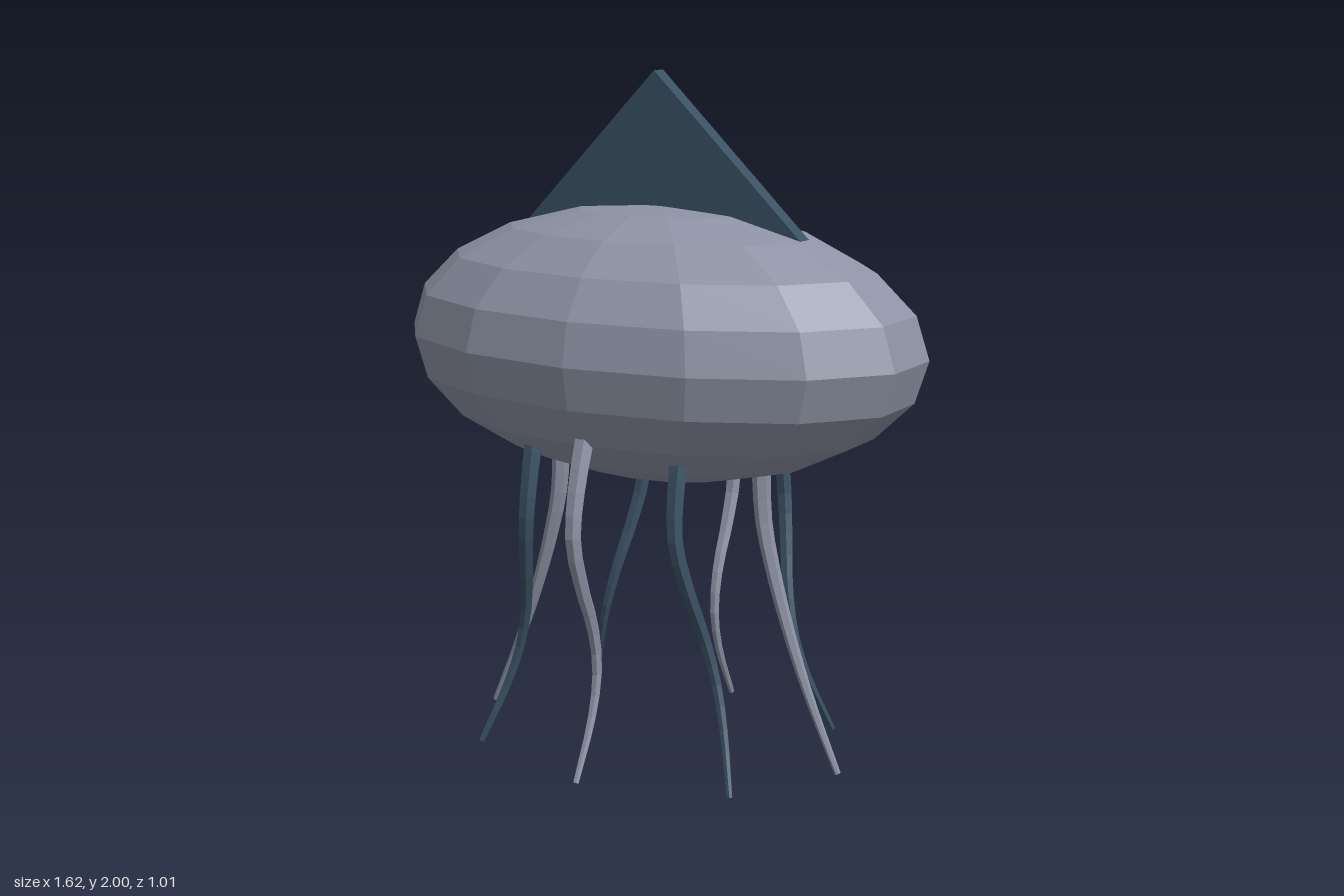
import * as THREE from 'three';

const skin = new THREE.MeshStandardMaterial({ color: 0x8d93a5, flatShading: true });
const dark = new THREE.MeshStandardMaterial({ color: 0x3a5163, flatShading: true });

// Tapered tube along a curve, closed by a small flat tip
function taperedTube(curve, rings, sides, r0, r1) {
  const geometry = new THREE.TubeGeometry(curve, rings, 1, sides);
  const pos = geometry.attributes.position;
  const v = new THREE.Vector3();
  for (let i = 0; i <= rings; i++) {
    const from = curve.getPointAt(i / rings);
    const s = Math.min(i / (rings - 1), 1);
    const to = curve.getPointAt(s);
    const radius = i === rings ? 0 : r0 + (r1 - r0) * s;
    for (let j = 0; j <= sides; j++) {
      const k = i * (sides + 1) + j;
      v.fromBufferAttribute(pos, k).sub(from).multiplyScalar(radius).add(to);
      pos.setXYZ(k, v.x, v.y, v.z);
    }
  }
  geometry.computeVertexNormals();
  return geometry;
}

// Tentacle profile: height, sideways reach along x, reach along z
const profile = [
  [1.04, 0.345, 0.38], [0.865, 0.346, 0.437], [0.72, 0.356, 0.456], [0.57, 0.391, 0.412],
  [0.44, 0.43, 0.358], [0.305, 0.477, 0.338], [0.175, 0.53, 0.368], [0.005, 0.607, 0.453],
];

export function createModel() {
  const model = new THREE.Group();

  // Faceted ellipsoid body
  const bodyGeometry = new THREE.SphereGeometry(1, 14, 10);
  bodyGeometry.rotateY(Math.PI / 2);
  bodyGeometry.scale(0.83, 0.4, 0.503);
  const body = new THREE.Mesh(bodyGeometry, skin);
  body.name = 'body';
  body.position.y = 1.22;
  model.add(body);

  // Triangular fin sunk into the top of the body
  const finShape = new THREE.Shape([
    new THREE.Vector2(-0.49, 1.5), new THREE.Vector2(0.52, 1.5), new THREE.Vector2(0, 2),
  ]);
  const finGeometry = new THREE.ExtrudeGeometry(finShape, { depth: 0.05, bevelEnabled: false });
  finGeometry.translate(0, 0, -0.025);
  const fin = new THREE.Mesh(finGeometry, dark);
  fin.name = 'fin';
  model.add(fin);

  // Eight wavy tentacles, alternating in colour
  const tentacles = new THREE.Group();
  tentacles.name = 'tentacles';
  for (let i = 0; i < 8; i++) {
    const a = (i * Math.PI) / 4;
    const curve = new THREE.CatmullRomCurve3(
      profile.map(([y, x, z]) => new THREE.Vector3(x * Math.cos(a), y, z * Math.sin(a))));
    const tentacle = new THREE.Mesh(taperedTube(curve, 18, 6, 0.031, 0.009), i % 2 ? dark : skin);
    tentacle.name = 'tentacle' + (i + 1);
    tentacles.add(tentacle);
  }
  model.add(tentacles);

  return model;
}
